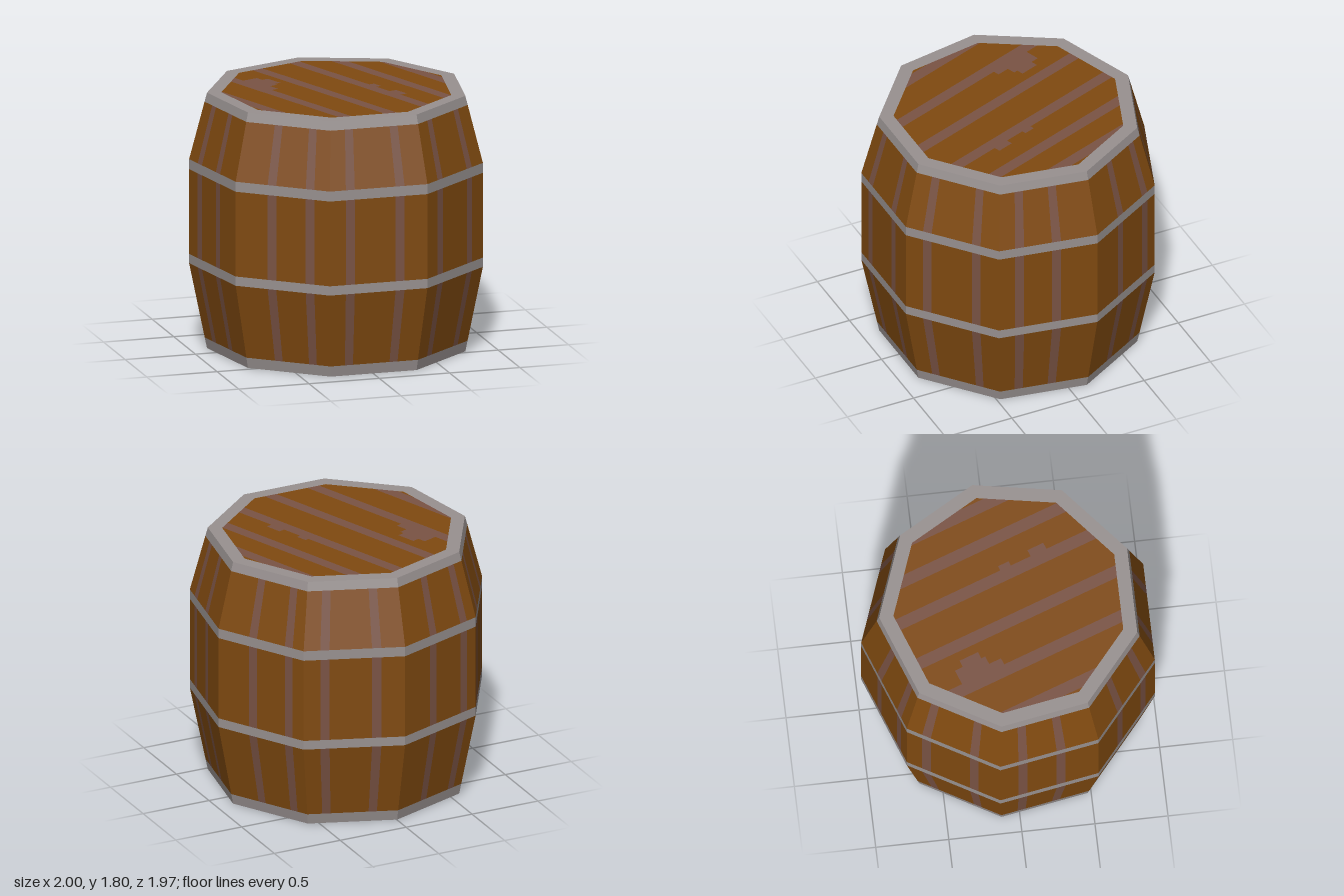
import * as THREE from 'three';

const SIDES = 9, STEP = (Math.PI * 2) / SIDES, CZ = 0.03, TOP = 1.793;
const END_R = 0.893, BELLY_R = 1.0154, RIM_R = 0.795;
const BELLY_LOW = 0.6, BELLY_HIGH = 1.33;

// Barrel radius at a height: straight belly, tapered ends
function radiusAt(y) {
  if (y < BELLY_LOW) return THREE.MathUtils.lerp(END_R, BELLY_R, y / BELLY_LOW);
  if (y > BELLY_HIGH) return THREE.MathUtils.lerp(BELLY_R, END_R, (y - BELLY_HIGH) / (TOP - BELLY_HIGH));
  return BELLY_R;
}

// Corner i of the nine-sided ring; corner 0 is at the left of the front facet
function corner(i, r, y) {
  const a = (i - 0.5) * STEP;
  return new THREE.Vector3(Math.sin(a) * r, y, Math.cos(a) * r + CZ);
}

// Flat mesh from convex polygons, each fan-triangulated
function polyMesh(name, material, polygons) {
  const pos = [];
  for (const p of polygons) {
    for (let i = 1; i < p.length - 1; i++) {
      for (const v of [p[0], p[i], p[i + 1]]) pos.push(v.x, v.y, v.z);
    }
  }
  const geo = new THREE.BufferGeometry();
  geo.setAttribute('position', new THREE.Float32BufferAttribute(pos, 3));
  geo.computeVertexNormals();
  const mesh = new THREE.Mesh(geo, material);
  mesh.name = name;
  return mesh;
}

// Part of facet i between heights y0..y1 and fractions u0..u1 of its width
function facetPatch(i, y0, y1, u0, u1) {
  const at = (u, y) => corner(i, radiusAt(y), y).lerp(corner(i + 1, radiusAt(y), y), u);
  return [at(u0, y0), at(u1, y0), at(u1, y1), at(u0, y1)];
}

// Keep the side of a convex polygon where dist(v) >= 0
function clip(poly, dist) {
  const out = [];
  poly.forEach((a, i) => {
    const b = poly[(i + 1) % poly.length];
    const da = dist(a), db = dist(b);
    if (da >= 0) out.push(a);
    if (da * db < 0) out.push(a.clone().lerp(b, da / (da - db)));
  });
  return out;
}

// Round end of the barrel: boards with slanted grain lines and knots
function addEnd(group, name, o) {
  const c = Math.cos(o.angle), s = Math.sin(o.angle);
  const across = (v) => v.x * c - (v.z - CZ) * s;
  const ring = Array.from({ length: SIDES }, (_, i) => corner(i, o.radius, o.y));
  if (!o.up) ring.reverse();
  const slab = (a, b) => clip(clip(ring, (v) => across(v) - a), (v) => b - across(v));
  const boards = [], grain = [];
  let from = -1.2;
  for (const p of o.lines) {
    boards.push(slab(from, p - 0.042));
    grain.push(slab(p - 0.042, p + 0.042));
    from = p + 0.042;
  }
  boards.push(slab(from, 1.2));
  // Knots: thin patches [p0, p1, t0, t1] across and along the grain
  const y = o.y + (o.up ? 0.003 : 0.001);
  const knots = o.knots.map(([p0, p1, t0, t1]) => {
    const quad = [[p0, t0], [p0, t1], [p1, t1], [p1, t0]].map(
      ([p, t]) => new THREE.Vector3(p * c + t * s, o.up ? y : -0.003, -p * s + t * c + CZ));
    return o.up ? quad : quad.reverse();
  });
  group.add(polyMesh(name + 'Boards', o.wood, boards));
  group.add(polyMesh(name + 'Grain', o.grain, grain));
  group.add(polyMesh(name + 'Knots', o.grain, knots));
}

export function createModel() {
  const group = new THREE.Group();
  group.name = 'barrel';
  const material = (name, color) => {
    const m = new THREE.MeshStandardMaterial({ color });
    m.name = name;
    return m;
  };
  const wood = material('wood', 0x804a10);
  const grain = material('woodGrain', 0x7a5344);
  const metal = material('hoopMetal', 0x989190);

  // Staves: two grain lines on every facet, given as fractions of its width
  const lines = [
    [0.21, 0.72], [0.23, 0.755], [0.21, 0.585], [0.405, 0.825], [0.21, 0.72],
    [0.4, 0.83], [0.21, 0.72], [0.23, 0.62], [0.385, 0.79],
  ];
  const staves = [], streaks = [];
  for (const [y0, y1] of [[0.075, 0.6], [0.665, 1.26], [1.33, 1.73]]) {
    lines.forEach((pair, i) => {
      let from = 0;
      for (const u of pair) {
        staves.push(facetPatch(i, y0, y1, from, u - 0.046));
        streaks.push(facetPatch(i, y0, y1, u - 0.046, u + 0.046));
        from = u + 0.046;
      }
      staves.push(facetPatch(i, y0, y1, from, 1));
    });
  }
  group.add(polyMesh('staves', wood, staves));
  group.add(polyMesh('staveGrain', grain, streaks));

  // Metal hoops
  const hoops = {
    bottomHoop: [0, 0.075], lowerHoop: [0.6, 0.665],
    upperHoop: [1.26, 1.33], topHoop: [1.73, TOP],
  };
  for (const [name, [y0, y1]] of Object.entries(hoops)) {
    group.add(polyMesh(name, metal, lines.map((_, i) => facetPatch(i, y0, y1, 0, 1))));
  }

  // Flat metal rim around the lid
  group.add(polyMesh('lidRim', metal, lines.map((_, i) => [
    corner(i, END_R, TOP), corner(i + 1, END_R, TOP),
    corner(i + 1, RIM_R, TOP), corner(i, RIM_R, TOP),
  ])));

  // Lid and base
  addEnd(group, 'lid', {
    wood, grain, up: true, y: TOP, radius: RIM_R, angle: Math.PI / 9,
    lines: [-0.72, -0.42, -0.115, 0.2, 0.465, 0.715],
    knots: [
      [-0.43, -0.27, -0.55, -0.32], [-0.28, -0.22, -0.49, -0.35], [-0.43, -0.33, -0.33, -0.23],
      [0.17, 0.275, 0.05, 0.13], [0.17, 0.29, 0.28, 0.4],
    ],
  });
  addEnd(group, 'base', {
    wood, grain, up: false, y: 0, radius: END_R, angle: Math.PI / 4.5,
    lines: [-0.8, -0.47, -0.13, 0.2, 0.53],
    knots: [[0.2, 0.33, -0.36, -0.1], [-0.45, -0.27, 0.38, 0.55], [-0.47, -0.35, 0.3, 0.62]],
  });
  return group;
}
